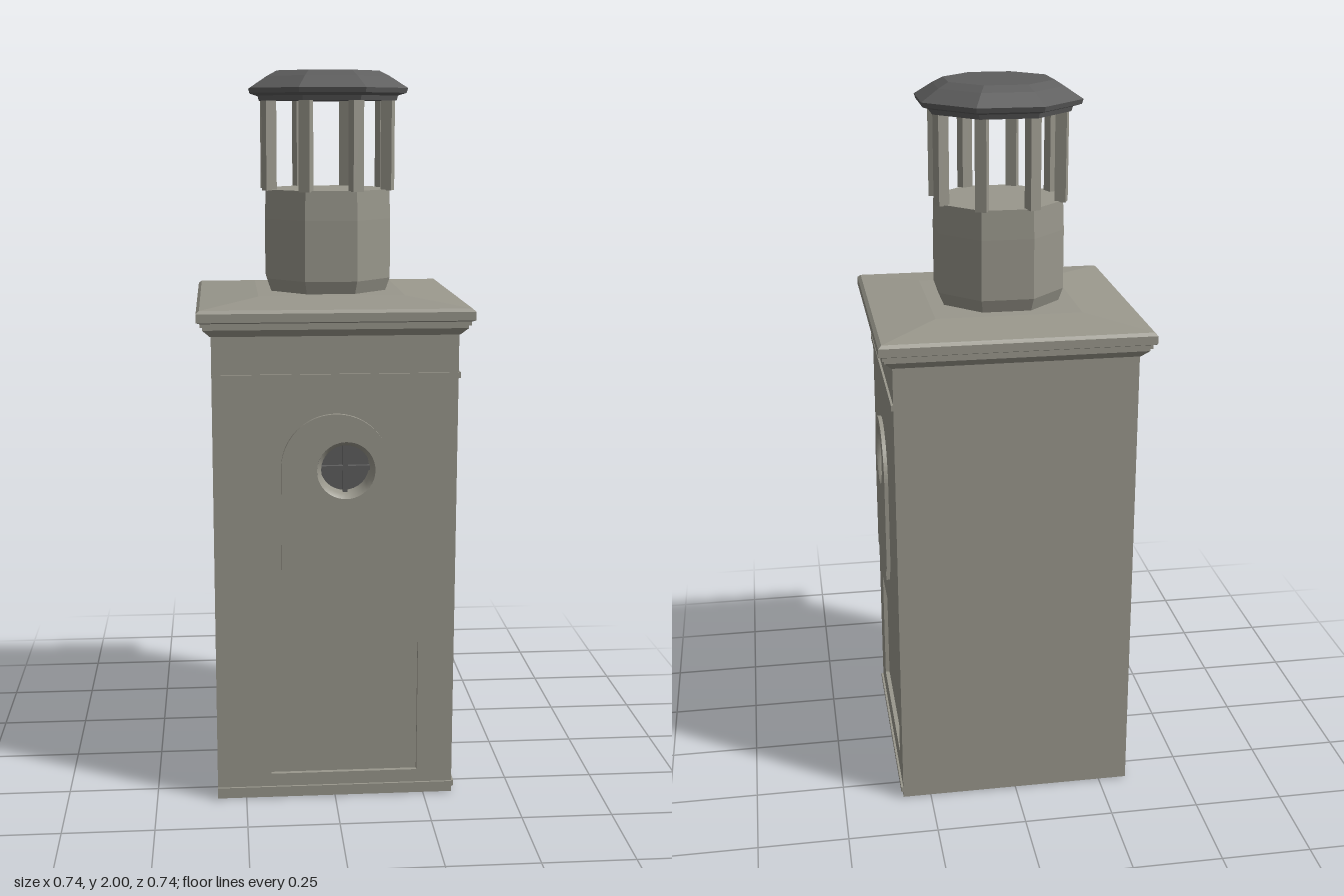
import * as THREE from 'three';

export function createModel() {
  const model = new THREE.Group();
  const stone = new THREE.MeshStandardMaterial({ color: 0x99978c, side: THREE.DoubleSide });
  stone.name = 'warm grey stone';
  const slate = new THREE.MeshStandardMaterial({ color: 0x5e5e5e, side: THREE.DoubleSide });
  slate.name = 'dark grey slate';

  const add = (parent, name, geo, mat, x = 0, y = 0, z = 0) => {
    const m = new THREE.Mesh(geo, mat);
    m.name = name;
    m.position.set(x, y, z);
    parent.add(m);
    return m;
  };
  const box = (w, h, d) => new THREE.BoxGeometry(w, h, d);

  // Faceted prism from [apothem, y] pairs, flat sides facing the axes
  const prism = (sides, profile) => {
    const k = 1 / Math.cos(Math.PI / sides);
    const pts = profile.map(([r, y]) => new THREE.Vector2(r * k, y));
    const g = new THREE.LatheGeometry(pts, sides, Math.PI / sides).toNonIndexed();
    g.computeVertexNormals();
    return g;
  };
  const rectangle = (T, x0, y0, x1, y1) => {
    const s = new T();
    s.moveTo(x0, y0);
    s.lineTo(x1, y0);
    s.lineTo(x1, y1);
    s.lineTo(x0, y1);
    s.closePath();
    return s;
  };
  const circle = (x, y, r) => {
    const p = new THREE.Path();
    p.absarc(x, y, r, 0, Math.PI * 2, true);
    return p;
  };
  const extrude = (shape, depth) =>
    new THREE.ExtrudeGeometry(shape, { depth, bevelEnabled: false, curveSegments: 20 });

  const H = 1.32, W = 0.33, T = 0.06;

  // Tower core, with room for the two detailed walls
  add(model, 'towerCore', box(2 * W - T, H, 2 * W - T), stone, -T / 2, H / 2, -T / 2);
  add(model, 'baseUnderside', box(0.59, 0.004, 0.59), slate, 0, -0.0005, 0);

  // Detailed wall: sunken panel, raised arch, round window and thin mouldings
  const detailedWall = (name, o) => {
    const wall = new THREE.Group();
    wall.name = name;
    const [px0, py0, px1, py1] = o.panel;
    const [cx, cy, r] = o.window;

    const shape = rectangle(THREE.Shape, o.left, 0, W, H);
    shape.holes.push(rectangle(THREE.Path, px0, py0, px1, py1), circle(cx, cy, r));
    add(wall, 'wall', extrude(shape, T), stone, 0, 0, W - T);
    add(wall, 'sunkenPanel', box(px1 - px0, py1 - py0, T - 0.012), stone,
      (px0 + px1) / 2, (py0 + py1) / 2, W - 0.012 - (T - 0.012) / 2);

    // Raised arch with a notch in its lower right corner
    const [ax, ay0, ay1, ar] = o.arch;
    const arch = new THREE.Shape();
    arch.moveTo(ax - ar, ay0);
    arch.lineTo(ax + ar - 0.03, ay0);
    arch.lineTo(ax + ar - 0.03, ay0 + 0.04);
    arch.lineTo(ax + ar, ay0 + 0.04);
    arch.lineTo(ax + ar, ay1 - ar);
    arch.absarc(ax, ay1 - ar, ar, 0, Math.PI, false);
    arch.closePath();
    arch.holes.push(circle(cx, cy, r));
    add(wall, 'archPanel', extrude(arch, 0.011), stone, 0, 0, W);

    // Bevelled window reveal and pane
    const reveal = new THREE.LatheGeometry(
      [[r - 0.012, -0.05], [r - 0.012, -0.003], [r, 0.011]].map((p) => new THREE.Vector2(...p)), 32);
    reveal.rotateX(Math.PI / 2);
    add(wall, 'windowReveal', reveal, stone, cx, cy, W);
    add(wall, 'windowPane', new THREE.CircleGeometry(r, 32), slate, cx, cy, W - 0.045);
    if (o.cross) {
      const len = 2 * (r - 0.012);
      add(wall, 'windowBarAcross', box(len, 0.013, 0.015), slate, cx, cy, W - 0.025);
      add(wall, 'windowBarUpright', box(0.013, len, 0.015), slate, cx, cy, W - 0.025);
    }

    // Mouldings
    for (const [part, y] of [['baseMoulding', 0.025], ['friezeMoulding', 1.2]])
      add(wall, part, box(2 * W, 0.016, 0.006), stone, 0, y, W + 0.003);
    model.add(wall);
    return wall;
  };

  detailedWall('frontWall', {
    left: -W, panel: [-0.18, 0.07, 0.23, 0.45], window: [0.028, 0.945, 0.079],
    arch: [0, 0.6, 1.1, 0.147], cross: true,
  });
  detailedWall('leftWall', {
    left: -W + T, panel: [-0.22, 0.1, 0.245, 0.445], window: [-0.077, 0.915, 0.09],
    arch: [-0.06, 0.57, 1.03, 0.152], cross: false,
  }).rotation.y = Math.PI / 2;

  // Stepped cornice and shallow hipped roof
  add(model, 'corniceAndRoof', prism(4, [
    [0, 1.31], [0.332, 1.31], [0.352, 1.33], [0.352, 1.338], [0.358, 1.338], [0.358, 1.348],
    [0.368, 1.352], [0.368, 1.375], [0.359, 1.383], [0.2, 1.4], [0, 1.4],
  ]), stone);

  // Eight-sided lantern drum
  add(model, 'lanternDrum', prism(8, [
    [0, 1.39], [0.157, 1.39], [0.172, 1.435], [0.172, 1.6], [0.169, 1.68], [0, 1.68],
  ]), stone);

  // Lantern posts on the corners of the drum
  for (let i = 0; i < 8; i++) {
    const a = Math.PI / 8 + (i * Math.PI) / 4;
    const post = add(model, 'lanternPost', box(0.031, 0.245, 0.031), stone,
      Math.sin(a) * 0.177, 1.8, Math.cos(a) * 0.177);
    post.rotation.y = a;
  }

  // Lantern cap
  add(model, 'lanternCap', prism(8, [
    [0, 1.92], [0.186, 1.92], [0.19, 1.933], [0.212, 1.94], [0.216, 1.953],
    [0.168, 1.985], [0.14, 2.0], [0, 2.0],
  ]), slate);

  return model;
}
